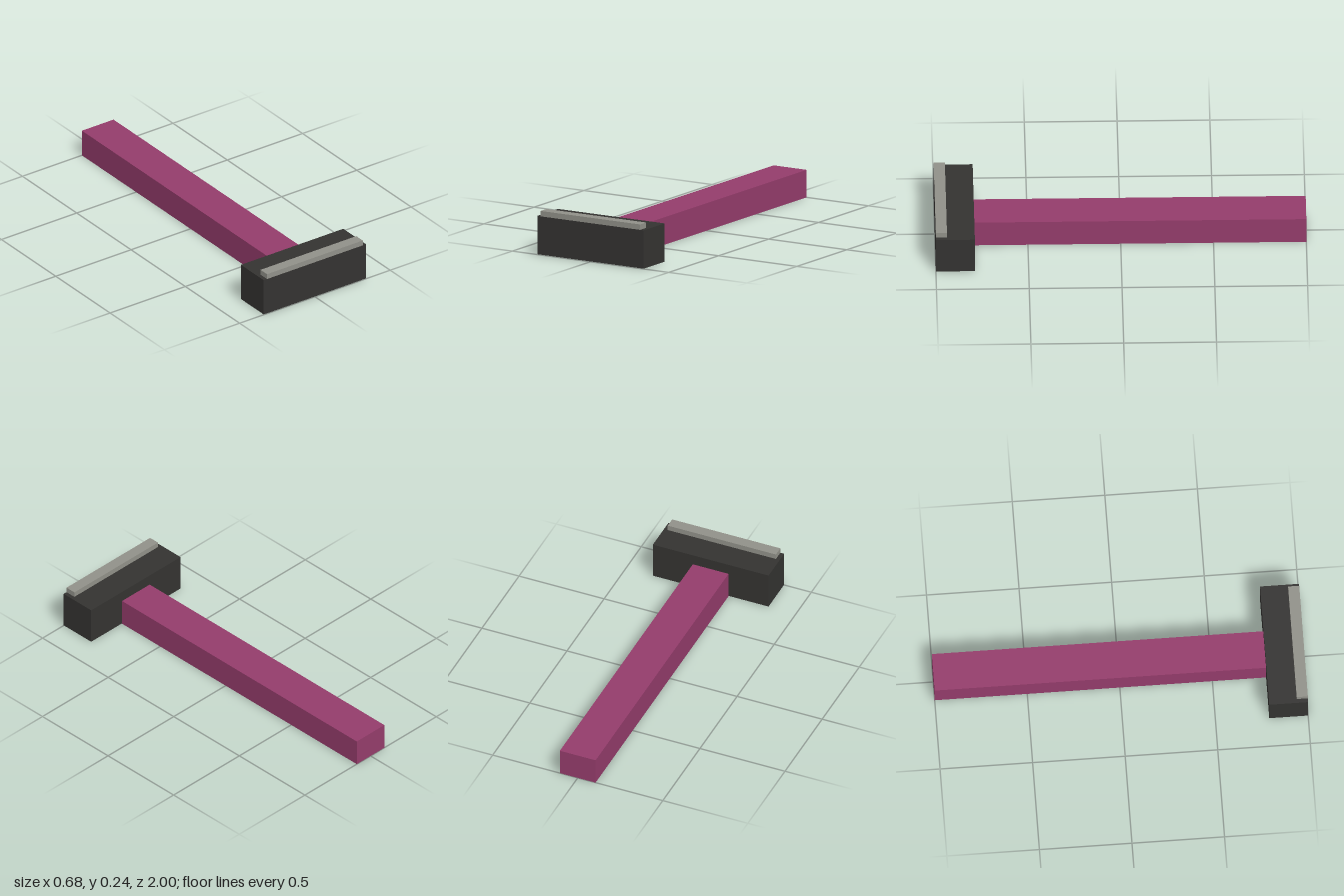
import * as THREE from 'three';

// Box given by its min and max corners
function block(name, color, min, max) {
  const size = max.map((v, i) => v - min[i]);
  const mesh = new THREE.Mesh(
    new THREE.BoxGeometry(...size),
    new THREE.MeshStandardMaterial({ color })
  );
  mesh.position.set(...max.map((v, i) => (v + min[i]) / 2));
  mesh.name = name;
  return mesh;
}

export function createModel() {
  const group = new THREE.Group();
  group.name = 'razor';
  group.add(
    // long straight handle, its end set slightly into the head
    block('handle', 0x943c6b, [-0.105, 0, -1], [0.105, 0.152, 0.81]),
    // wide head across the front
    block('head', 0x343331, [-0.34, 0.002, 0.79], [0.34, 0.213, 1]),
    // thin blade strip along the top front edge
    block('blade', 0x919189, [-0.318, 0.213, 0.94], [0.318, 0.243, 1])
  );
  return group;
}
